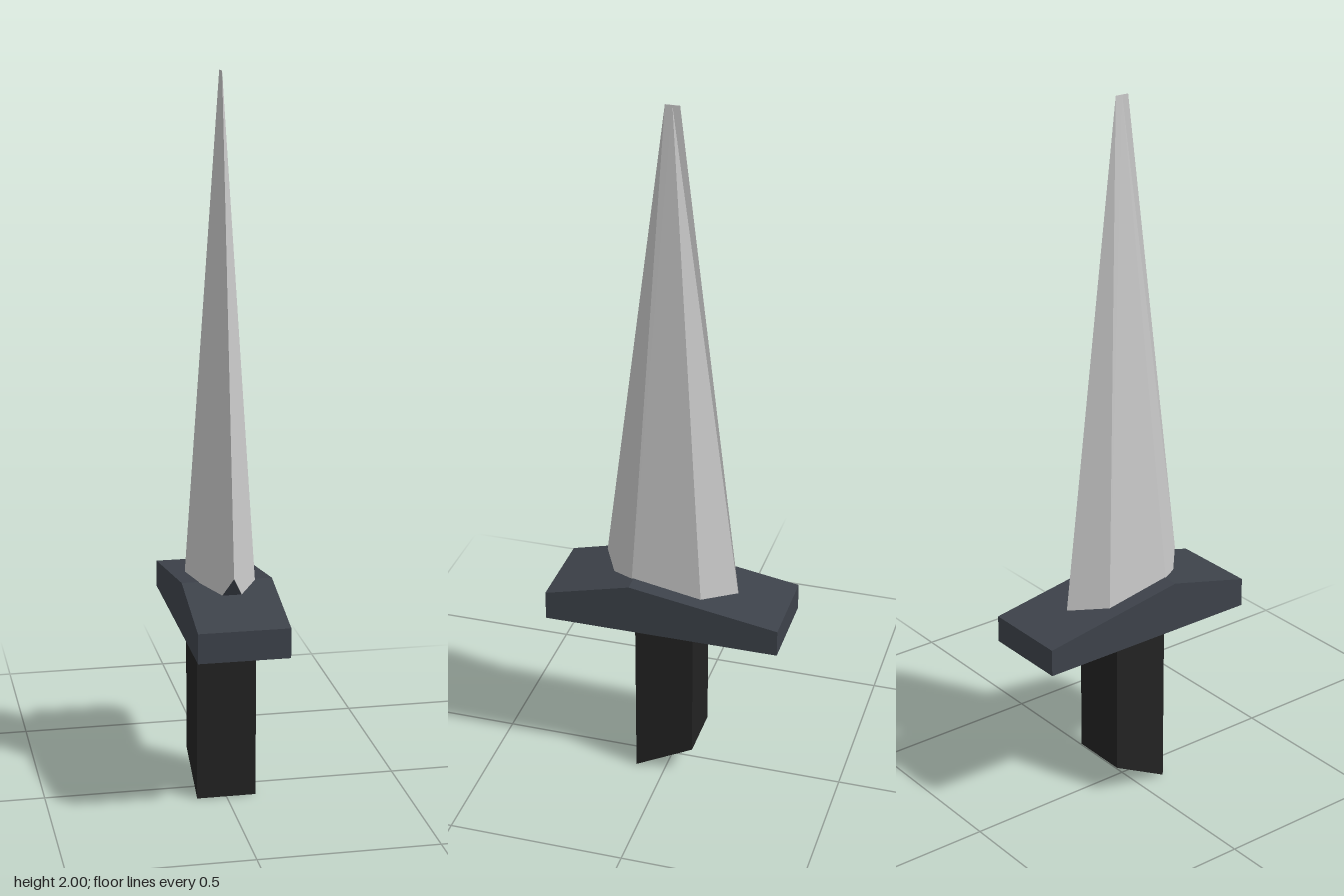
import * as THREE from 'three';

const mat = (name, color) => {
  const m = new THREE.MeshStandardMaterial({ color, flatShading: true });
  m.name = name;
  return m;
};

// Extrudes a side profile of [z, y] points across x, centred on x = 0
function sideExtrude(name, profile, width, material) {
  const shape = new THREE.Shape(profile.map(([z, y]) => new THREE.Vector2(-z, y)));
  const geo = new THREE.ExtrudeGeometry(shape, { depth: width, bevelEnabled: false });
  geo.translate(0, 0, -width / 2).rotateY(Math.PI / 2);
  const mesh = new THREE.Mesh(geo, material);
  mesh.name = name;
  return mesh;
}

// Flat-faced mesh from triangles of [x, y, z] corners
function facets(name, triangles, material) {
  const geo = new THREE.BufferGeometry();
  geo.setAttribute('position', new THREE.Float32BufferAttribute(triangles.flat(2), 3));
  geo.computeVertexNormals();
  const mesh = new THREE.Mesh(geo, material);
  mesh.name = name;
  return mesh;
}

export function createModel() {
  const steel = mat('steel', 0xc8c8c8);
  const slate = mat('slate', 0x3d424a);
  const black = mat('black', 0x222222);
  const group = new THREE.Group();
  group.name = 'dagger';

  // Grip with a slanted pommel end
  group.add(sideExtrude('grip', [[0.085, 0], [0.085, 0.5], [-0.083, 0.5], [-0.083, 0.087]], 0.166, black));

  // Crossguard with an off-centre ridge
  group.add(sideExtrude('crossguard',
    [[0.335, 0.49], [0.335, 0.573], [0.09, 0.635], [-0.335, 0.567], [-0.335, 0.49]], 0.25, slate));

  // Blade: hexagonal root tapering to a thin edge, counter-clockwise from above
  const root = [[0, 0.67, 0.19], [0.084, 0.5, 0.103], [0.088, 0.5, -0.113],
    [0, 0.5, -0.203], [-0.088, 0.5, -0.113], [-0.085, 0.5, 0.103]];
  const tip = [[0, 2, 0.02], [0.001, 2, 0], [0.001, 2, 0],
    [0, 2, -0.02], [-0.001, 2, 0], [-0.001, 2, 0]];
  const sides = [];
  root.forEach((a, i) => {
    const j = (i + 1) % 6;
    sides.push([a, root[j], tip[i]]);
    if (i !== 1 && i !== 4) sides.push([root[j], tip[j], tip[i]]);
  });
  sides.push([tip[0], tip[1], tip[3]], [tip[0], tip[3], tip[4]]);
  group.add(facets('blade', sides, steel));

  // Dark notch under the raised front corner of the blade
  group.add(facets('bladeNotch', [[root[0], root[5], root[1]]], slate));

  return group;
}
